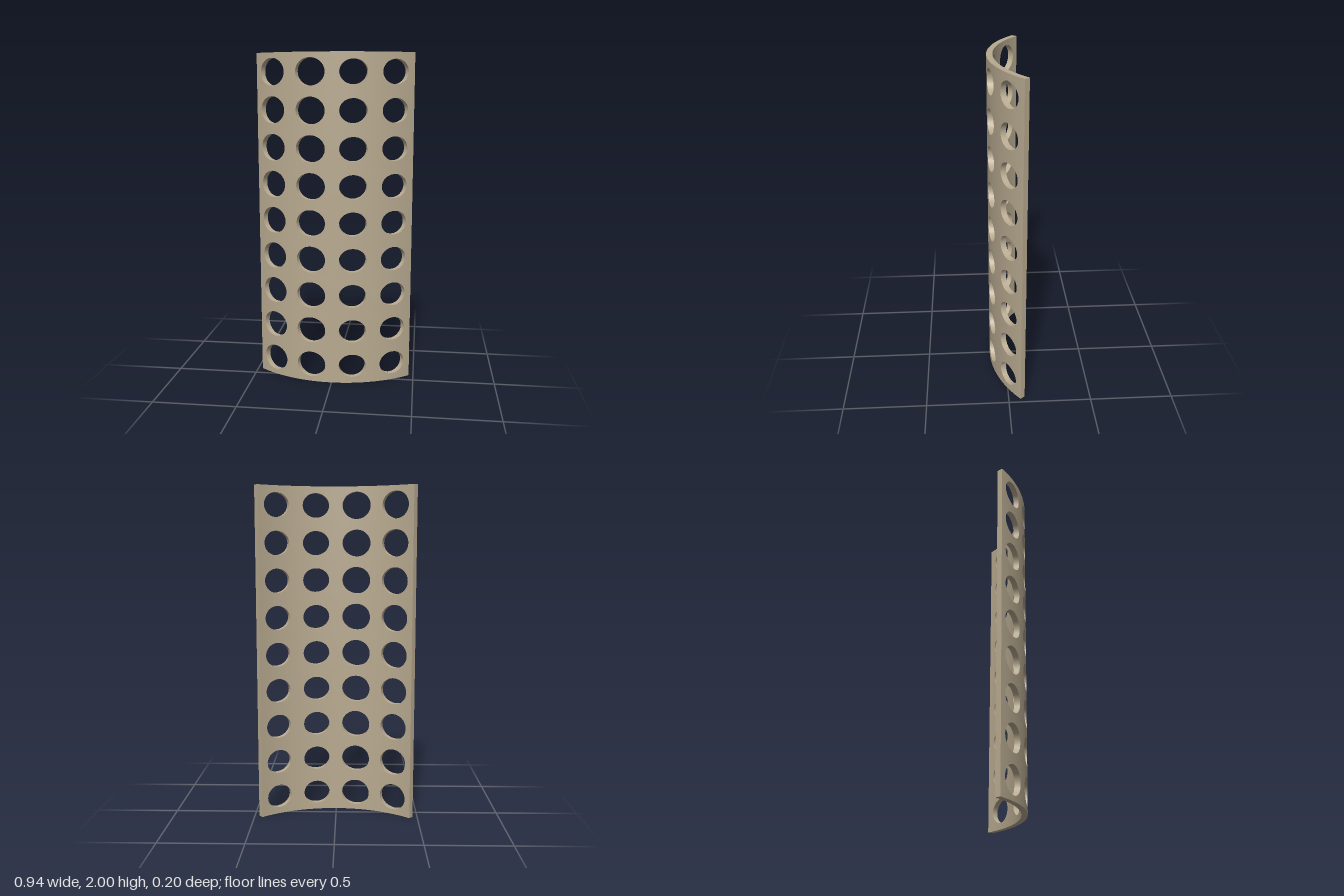
import * as THREE from 'three';
import { mergeGeometries, mergeVertices } from 'three/addons/utils/BufferGeometryUtils.js';

const OUTER = 0.735, INNER = 0.701, CENTRE_Z = -0.636;
const HALF_ARC = THREE.MathUtils.degToRad(40);
const HEIGHT = 2, ROWS = 9, COLS = 4;
const CELL_A = 2 * HALF_ARC / COLS, CELL_Y = HEIGHT / ROWS;
const AROUND = 48;

// Hole half sizes for each column: half angle in degrees, half height
const HOLES = [[7.0, 0.08], [7.0, 0.08], [6.5, 0.072], [6.5, 0.072]];

// Point on the curved plate from arc angle, height and radius
const bend = (a, y, r) => [r * Math.sin(a), y, CENTRE_Z + r * Math.cos(a)];

// Grid surface; it faces along d/du x d/dv
function patch(nu, nv, f) {
  const pos = [], index = [];
  for (let i = 0; i <= nu; i++)
    for (let j = 0; j <= nv; j++) pos.push(...f(i / nu, j / nv));
  for (let i = 0; i < nu; i++)
    for (let j = 0; j < nv; j++) {
      const a = i * (nv + 1) + j, b = a + nv + 1;
      index.push(a, b, b + 1, a, b + 1, a + 1);
    }
  const g = new THREE.BufferGeometry();
  g.setAttribute('position', new THREE.Float32BufferAttribute(pos, 3));
  g.setIndex(index);
  return g;
}

// Points on the rim of a hole and on the border of its rectangular cell
function cellPoints(col, row, t) {
  const angle = t * 2 * Math.PI;
  const c = Math.cos(angle), s = Math.sin(angle);
  const k = 1 / Math.max(Math.abs(c), Math.abs(s));
  const a0 = -HALF_ARC + (col + 0.5) * CELL_A, y0 = (row + 0.5) * CELL_Y;
  const [deg, hy] = HOLES[col];
  const ha = THREE.MathUtils.degToRad(deg);
  return {
    rim: [a0 + ha * c, y0 + hy * s],
    border: [a0 + CELL_A / 2 * c * k, y0 + CELL_Y / 2 * s * k],
  };
}

// Perforated face of one cell
function cellFace(col, row, r, flip) {
  return patch(3, AROUND, (u, v) => {
    const { rim, border } = cellPoints(col, row, flip ? 1 - v : v);
    const a = THREE.MathUtils.lerp(rim[0], border[0], u);
    const y = THREE.MathUtils.lerp(rim[1], border[1], u);
    return bend(a, y, r);
  });
}

// Wall through the thickness of the plate
function holeWall(col, row) {
  return patch(AROUND, 1, (u, v) => {
    const { rim } = cellPoints(col, row, u);
    return bend(rim[0], rim[1], THREE.MathUtils.lerp(OUTER, INNER, v));
  });
}

export function createModel() {
  const group = new THREE.Group();
  group.name = 'perforatedCurvedPanel';
  const tan = new THREE.MeshStandardMaterial({ color: 0xb8aa90 });
  tan.name = 'tan';

  const add = (name, parts) => {
    const g = mergeVertices(mergeGeometries(parts), 1e-5);
    g.computeVertexNormals();
    const mesh = new THREE.Mesh(g, tan);
    mesh.name = name;
    group.add(mesh);
  };

  // Faces and hole walls, cell by cell
  const front = [], back = [], walls = [];
  for (let col = 0; col < COLS; col++)
    for (let row = 0; row < ROWS; row++) {
      front.push(cellFace(col, row, OUTER, false));
      back.push(cellFace(col, row, INNER, true));
      walls.push(holeWall(col, row));
    }
  add('frontFace', front);
  add('backFace', back);
  add('holeWalls', walls);

  // Edge strips closing the thickness
  const arc = (u) => (2 * u - 1) * HALF_ARC;
  const radius = (v) => THREE.MathUtils.lerp(INNER, OUTER, v);
  add('topEdge', [patch(48, 1, (u, v) => bend(arc(u), HEIGHT, radius(1 - v)))]);
  add('bottomEdge', [patch(48, 1, (u, v) => bend(arc(u), 0, radius(v)))]);
  add('leftEdge', [patch(1, 1, (u, v) => bend(HALF_ARC, u * HEIGHT, radius(v)))]);
  add('rightEdge', [patch(1, 1, (u, v) => bend(-HALF_ARC, u * HEIGHT, radius(1 - v)))]);
  return group;
}
